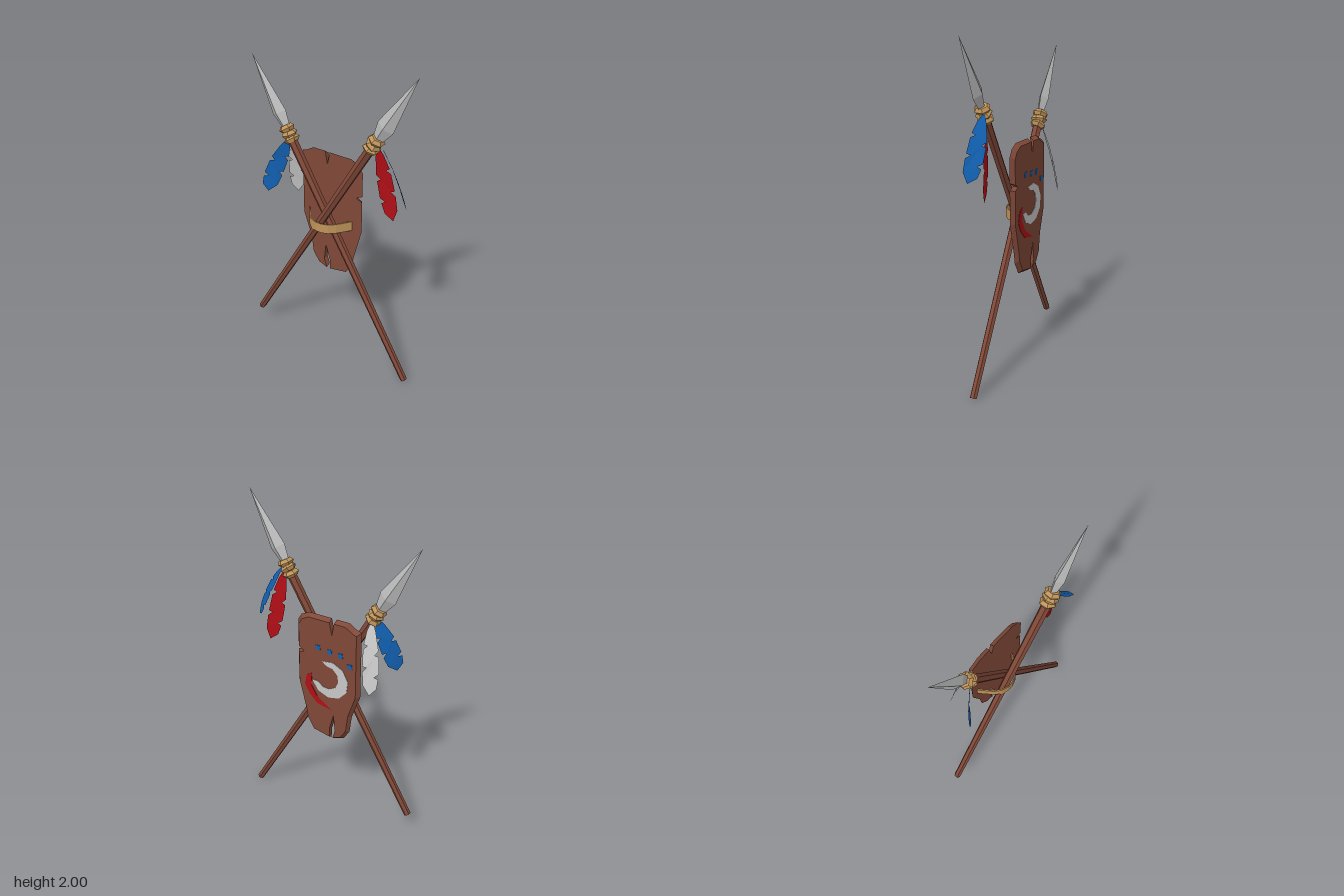
import * as THREE from 'three';

const mat = (name, color, side = THREE.FrontSide) =>
  new THREE.MeshStandardMaterial({ name, color, side, flatShading: true });

export function createModel() {
  const wood = mat('wood', 0x804838);
  const metal = mat('metal', 0xbcbcbc);
  const leather = mat('leather', 0xc0945a);
  const red = mat('red', 0xb00f16, THREE.DoubleSide);
  const blue = mat('blue', 0x1262b4, THREE.DoubleSide);
  const pale = mat('paleGrey', 0xc8c8c8, THREE.DoubleSide);

  const model = new THREE.Group();
  model.name = 'shieldAndSpears';

  const add = (parent, name, geo, material) => {
    const m = new THREE.Mesh(geo, material);
    m.name = name;
    parent.add(m);
    return m;
  };
  const toShape = pts => new THREE.Shape(pts.map(p => new THREE.Vector2(p[0], p[1])));
  const extrude = (pts, depth) =>
    new THREE.ExtrudeGeometry(toShape(pts), { depth, bevelEnabled: false });

  // One spear: hexagonal shaft, cord rings and diamond-section head
  function spear(name, x, y, z, tilt) {
    const g = new THREE.Group();
    g.name = name;
    add(g, 'shaft', new THREE.CylinderGeometry(0.028, 0.021, 1.68, 6), wood).position.y = 0.84;

    const blade = add(g, 'spearTip', new THREE.ConeGeometry(1, 0.36, 4, 1, true), metal);
    blade.scale.set(0.052, 1, 0.031);
    blade.position.y = 1.975;
    const neck = add(g, 'spearNeck', new THREE.CylinderGeometry(1, 0.42, 0.125, 4, 1), metal);
    neck.scale.set(0.052, 1, 0.031);
    neck.position.y = 1.7325;

    for (let i = 0; i < 3; i++) {
      const geo = new THREE.CylinderGeometry(0.034, 0.034, 0.038, 6, 2);
      const p = geo.attributes.position;
      for (let k = 0; k < p.count; k++) {
        if (Math.abs(p.getY(k)) < 0.001) p.setXYZ(k, p.getX(k) * 1.45, 0, p.getZ(k) * 1.45);
      }
      const ring = add(g, 'cordRing', geo, leather);
      ring.position.y = 1.628 + i * 0.034;
      ring.rotation.set(i % 2 ? 0.12 : -0.12, i * 0.5, i % 2 ? -0.15 : 0.12);
    }
    g.position.set(x, y, z);
    g.rotation.z = tilt;
    model.add(g);
  }
  spear('frontSpear', -0.535, 0.133, 0.048, -Math.PI / 6);
  spear('rearSpear', 0.535, 0.012, 0.003, Math.PI / 6);

  // Feather outline: [distance along quill, side offset], with torn notches
  const featherOutline = [
    [0, 0.1], [0.12, 0.55], [0.3, 0.9], [0.32, 0.45], [0.37, 0.95], [0.6, 1], [0.61, 0.5],
    [0.67, 1], [0.86, 0.9], [1, 0.15], [0.9, -0.75], [0.76, -0.95], [0.74, -0.45],
    [0.69, -1], [0.46, -0.95], [0.44, -0.45], [0.38, -0.9], [0.14, -0.5], [0, -0.1],
  ];
  // Feather laid from root to tip; yaw turns its width about y, bow curves it
  function feather(name, material, root, tip, half, yaw, bow) {
    const a = new THREE.Vector3(...root), b = new THREE.Vector3(...tip);
    const across = new THREE.Vector3(Math.cos(yaw), 0, Math.sin(yaw));
    const along = b.clone().sub(a).normalize();
    across.addScaledVector(along, -across.dot(along)).normalize();
    const normal = across.clone().cross(along);
    const geo = new THREE.ShapeGeometry(toShape(featherOutline));
    const p = geo.attributes.position, v = new THREE.Vector3();
    for (let i = 0; i < p.count; i++) {
      const t = p.getX(i), w = p.getY(i);
      v.lerpVectors(a, b, t).addScaledVector(across, w * half)
        .addScaledVector(normal, bow * Math.sin(Math.PI * t));
      p.setXYZ(i, v.x, v.y, v.z);
    }
    add(model, name, geo, material);
  }
  feather('redFeather', red, [0.31, 1.56, 0.035], [0.395, 1.11, -0.005], 0.046, -0.25, 0.008);
  feather('leftBlueFeather', blue, [0.325, 1.575, 0.03], [0.5, 1.235, 0.03], 0.05, 0.8, 0.012);
  feather('rightBlueFeather', blue, [-0.295, 1.42, 0.02], [-0.4, 1.09, 0.1], 0.052, -0.7, 0.012);
  feather('greyFeather', pale, [-0.285, 1.42, -0.02], [-0.335, 1.01, -0.11], 0.046, -0.35, 0.012);

  // Cracked wooden shield, its back face narrowed into a bevel
  const outline = [
    [-0.16, 1.385], [-0.08, 1.385], [-0.065, 1.305], [-0.048, 1.385], [0.1, 1.385],
    [0.15, 1.36], [0.175, 1.32], [0.175, 1.17], [0.135, 1.147], [0.175, 1.13],
    [0.175, 0.93], [0.125, 0.74], [0.115, 0.68], [0.07, 0.605], [-0.048, 0.583],
    [-0.05, 0.65], [-0.078, 0.75], [-0.09, 0.64], [-0.072, 0.583], [-0.13, 0.605],
    [-0.17, 0.665], [-0.185, 0.78], [-0.237, 0.93], [-0.237, 1.345], [-0.2, 1.36],
  ];
  const board = extrude(outline, 0.025);
  const bp = board.attributes.position;
  for (let i = 0; i < bp.count; i++) {
    if (bp.getZ(i) < 0.01) {
      bp.setX(i, -0.03 + (bp.getX(i) + 0.03) * 0.91);
      bp.setY(i, 0.98 + (bp.getY(i) - 0.98) * 0.955);
    }
  }
  add(model, 'shield', board, wood).position.z = -0.068;

  // Painted marks on the back of the shield
  const paint = (name, pts, material) => {
    add(model, name, extrude(pts, 0.004), material).position.z = -0.0705;
  };
  const arc = (cx, cy, r, from, to, n) => Array.from({ length: n + 1 }, (_, i) => {
    const t = THREE.MathUtils.degToRad(from + (to - from) * i / n);
    return [cx + r * Math.cos(t), cy + r * Math.sin(t)];
  });
  paint('crescentMark', [
    ...arc(-0.05, 1.0, 0.122, 65, 345, 8),
    ...arc(-0.032, 1.012, 0.076, 325, 85, 7),
  ], pale);
  paint('redMark', [
    [0.07, 1.008], [0.105, 0.99], [0.119, 0.925], [0.09, 0.87], [0.035, 0.815],
    [-0.063, 0.796], [0.035, 0.862], [0.075, 0.93],
  ], red);
  for (const [x, y] of [[0.028, 1.19], [-0.049, 1.182], [-0.119, 1.178], [-0.18, 1.125]]) {
    paint('blueDot', [[x - 0.016, y - 0.012], [x + 0.012, y - 0.016],
      [x + 0.016, y + 0.013], [x - 0.012, y + 0.016]], blue);
  }

  // Strap arching over both shafts, drawn in plan and extruded in height
  const strapHalf = [[0.155, -0.045], [0.125, -0.005], [0.095, 0.035], [0.06, 0.065], [0.02, 0.08]];
  const inner = strapHalf.map(([x, z]) => [x - 0.006, z - 0.005]);
  const both = pts => [...pts.map(([x, z]) => [-x, z]), ...pts.slice().reverse()];
  const strapGeo = extrude([...both(strapHalf), ...both(inner).reverse()], 0.06);
  strapGeo.rotateX(Math.PI / 2);
  add(model, 'strap', strapGeo, leather).position.set(-0.045, 0.98, 0);

  return model;
}
